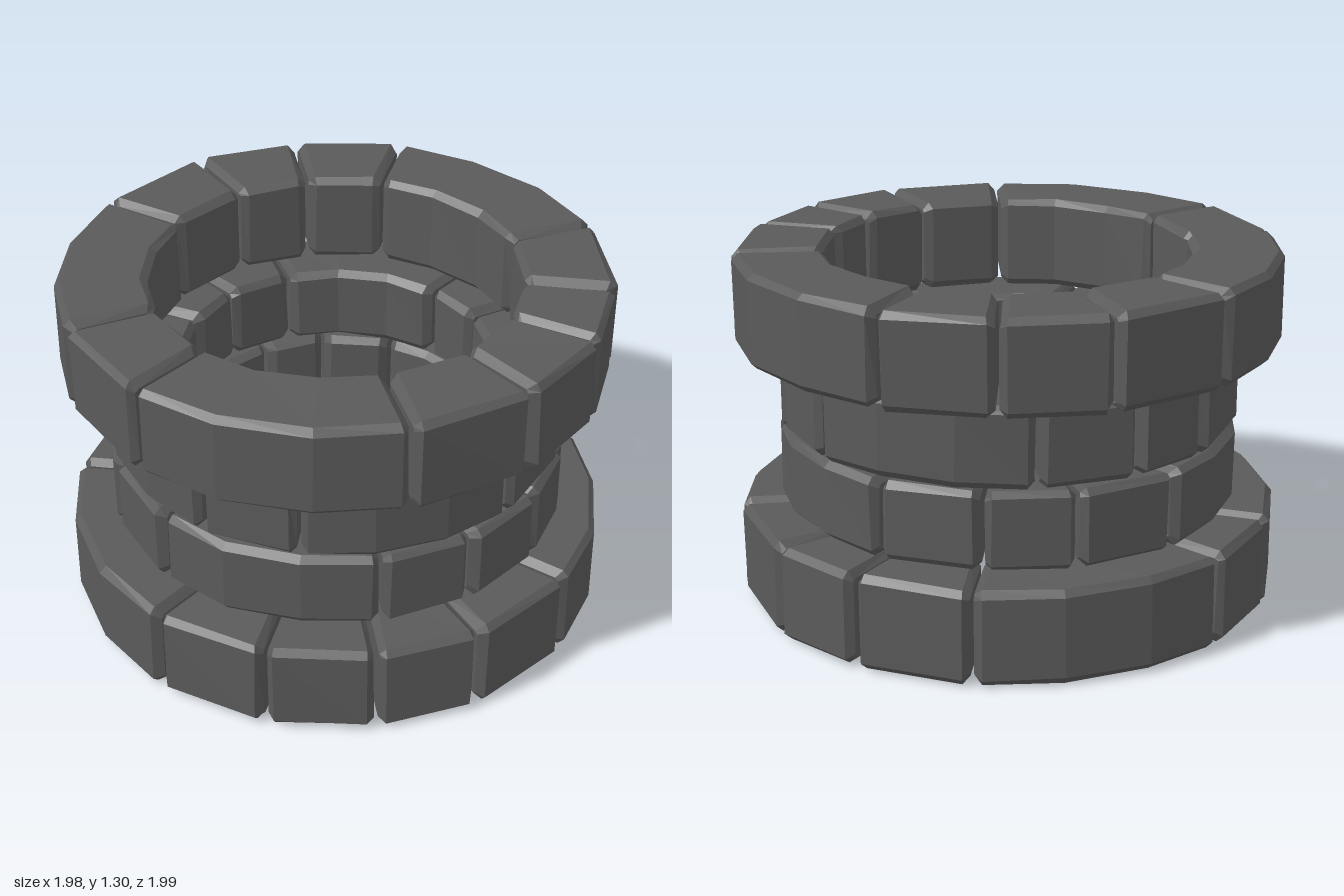
import * as THREE from 'three';

const stoneGrey = new THREE.MeshStandardMaterial({ color: 0x5a5a5a });
stoneGrey.name = 'stone grey';

// Small seeded generator for the hand-cut unevenness
let seed = 7;
function wobble(amount) {
  seed = (seed * 16807) % 2147483647;
  return (seed / 2147483647 - 0.5) * 2 * amount;
}

// Chamfered rectangle in (radius, height), counter-clockwise
function profile(r0, r1, y0, y1, c) {
  return [
    [r0 + c, y0], [r1 - c, y0], [r1, y0 + c], [r1, y1 - c],
    [r1 - c, y1], [r0 + c, y1], [r0, y1 - c], [r0, y0 + c],
  ];
}

// One curved block between two angles (degrees, from +x towards +z)
function stoneGeometry(course, startDeg, endDeg) {
  const { inner, outer, bottom, top } = course;
  const gap = 0.007, bevel = 0.026;
  const start = THREE.MathUtils.degToRad(startDeg);
  const end = THREE.MathUtils.degToRad(endDeg);
  const full = profile(inner, outer, bottom, top, 0.024);
  const small = profile(inner + bevel, outer - bevel, bottom + bevel, top - bevel, 0.012);

  // Sections: [profile, fraction of the span, distance moved in from the joint]
  const steps = endDeg - startDeg > 40 ? 3 : 1;
  const sections = [[small, 0, gap]];
  for (let i = 0; i <= steps; i++) {
    sections.push([full, i / steps, i === 0 ? gap + bevel : i === steps ? -gap - bevel : 0]);
  }
  sections.push([small, 1, -gap]);

  const positions = [], index = [], n = full.length;
  for (const [points, t, shift] of sections) {
    const dr = wobble(0.006), dy = wobble(0.003);
    for (const [r, y] of points) {
      const radius = r + dr + wobble(0.003);
      const a = start + (end - start) * t + (shift + wobble(0.004)) / radius;
      positions.push(radius * Math.cos(a), y + dy + wobble(0.003), radius * Math.sin(a));
    }
  }
  const last = (sections.length - 1) * n;
  for (let s = 0; s < last; s += n) {
    for (let j = 0; j < n; j++) {
      const k = (j + 1) % n;
      index.push(s + j, s + k, s + n + k, s + j, s + n + k, s + n + j);
    }
  }
  for (let j = 1; j < n - 1; j++) {
    index.push(0, j + 1, j, last, last + j, last + j + 1);
  }
  const indexed = new THREE.BufferGeometry();
  indexed.setAttribute('position', new THREE.Float32BufferAttribute(positions, 3));
  indexed.setIndex(index);
  const geometry = indexed.toNonIndexed(); // hard facets
  geometry.computeVertexNormals();
  return geometry;
}

// Courses from the ground up, with the angles of their joints
const courses = [
  { name: 'baseCourse', inner: 0.665, outer: 0.992, bottom: 0.012, top: 0.358,
    joints: [-167, -112, -87, -65, -38, 17, 42, 64, 87, 111.5, 170] },
  { name: 'lowerWallCourse', inner: 0.56, outer: 0.84, bottom: 0.362, top: 0.652,
    joints: [-162, -113, -87, -34, -6, 15, 38, 61.5, 119, 144] },
  { name: 'upperWallCourse', inner: 0.56, outer: 0.84, bottom: 0.66, top: 0.95,
    joints: [-173, -151, -126, -68, -45, -22, 0, 27, 81, 106, 162] },
  { name: 'rimCourse', inner: 0.665, outer: 0.992, bottom: 0.96, top: 1.303,
    joints: [-167, -140, -117, -93, -37, -11, 9.5, 32, 58, 114, 140] },
];
courses[1].joints.splice(1, 0, -136);

export function createModel() {
  const model = new THREE.Group();
  model.name = 'stoneWell';
  for (const course of courses) {
    const ring = new THREE.Group();
    ring.name = course.name;
    course.joints.forEach((joint, i) => {
      const next = i + 1 < course.joints.length ? course.joints[i + 1] : course.joints[0] + 360;
      const stone = new THREE.Mesh(stoneGeometry(course, joint, next), stoneGrey);
      stone.name = `stone${i + 1}`;
      ring.add(stone);
    });
    model.add(ring);
  }
  return model;
}
